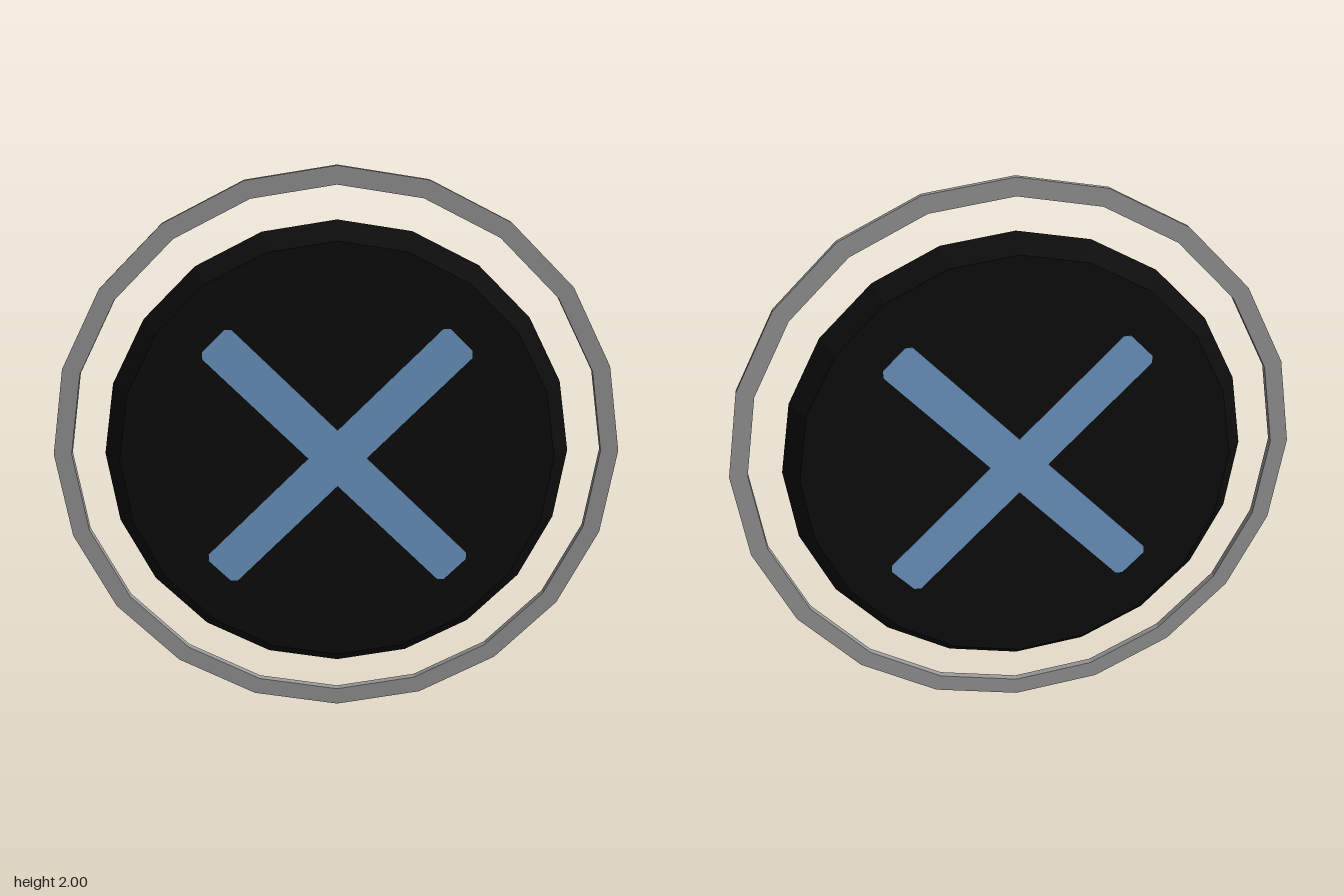
import * as THREE from 'three';

const SIDES = 20;

function material(name, color) {
  const m = new THREE.MeshStandardMaterial({ color, flatShading: true });
  m.name = name;
  return m;
}

// Faceted solid of revolution whose axis points along z
function turned(name, profile, mat) {
  const points = profile.map(([r, h]) => new THREE.Vector2(r, h));
  const geometry = new THREE.LatheGeometry(points, SIDES).rotateX(Math.PI / 2);
  const mesh = new THREE.Mesh(geometry, mat);
  mesh.name = name;
  return mesh;
}

// Plus-shaped outline with clipped arm corners
function crossShape(reach, half, clip) {
  const arm = [
    [half, half], [reach - clip, half], [reach, half - clip],
    [reach, clip - half], [reach - clip, -half],
  ].reverse();
  const points = [];
  for (let i = 0; i < 4; i++) {
    const a = (i * Math.PI) / 2;
    for (const [x, y] of arm) {
      points.push(new THREE.Vector2(x, y).rotateAround(new THREE.Vector2(), a));
    }
  }
  return new THREE.Shape(points);
}

export function createModel() {
  const black = material('black', 0x0d0d0d);
  const blue = material('blue', 0x719dcb);
  const grey = material('grey', 0x999999);

  const model = new THREE.Group();
  model.name = 'crossedDisc';
  const badge = new THREE.Group();
  badge.name = 'badge';
  badge.position.y = 1;
  model.add(badge);

  // Thin outer hoop, floating around the disc
  badge.add(turned('outerRing',
    [[0.937, -0.013], [1, -0.013], [1, 0.013], [0.937, 0.013], [0.937, -0.013]], grey));

  // Disc with bevelled rim
  badge.add(turned('disc',
    [[0, -0.078], [0.76, -0.078], [0.82, 0], [0.76, 0.078], [0, 0.078]], black));

  // Diagonal cross on both faces
  const plate = new THREE.ExtrudeGeometry(crossShape(0.597, 0.072, 0.018),
    { depth: 0.005, bevelEnabled: false });
  plate.rotateZ(Math.PI / 4).translate(0, 0, 0.076);
  for (const [name, turn] of [['frontCross', 0], ['backCross', Math.PI]]) {
    const cross = new THREE.Mesh(plate, blue);
    cross.name = name;
    cross.rotation.y = turn;
    badge.add(cross);
  }
  return model;
}
